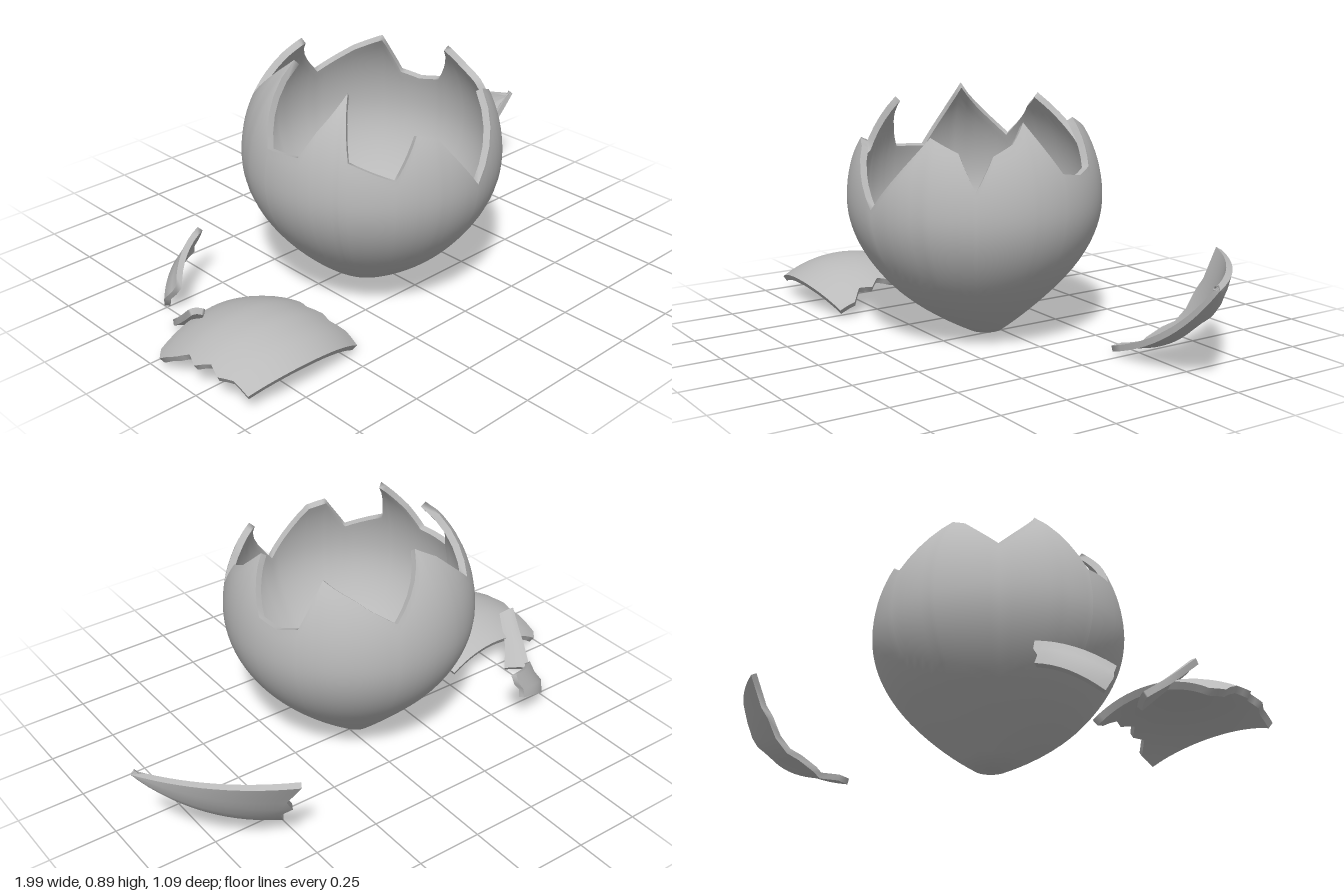
import * as THREE from 'three';

const shellGray = new THREE.MeshStandardMaterial({ color: 0xbababa });
shellGray.name = 'shellGray';

// Smooth surface over a (nu+1) x (nv+1) grid of points
function sheet(points, nu, nv, flip) {
  const g = new THREE.BufferGeometry().setFromPoints(points);
  const index = [];
  for (let j = 0; j < nv; j++) {
    for (let i = 0; i < nu; i++) {
      const a = j * (nu + 1) + i, b = a + 1, d = a + nu + 1, c = d + 1;
      if (flip) index.push(a, c, b, a, d, c);
      else index.push(a, b, c, a, c, d);
    }
  }
  g.setIndex(index);
  g.computeVertexNormals();
  return g;
}

// Closed curved plate: outer face, inner face and broken edge between them
function plate(name, nu, nv, thickness, pointAt, closed = false) {
  const outer = [];
  for (let j = 0; j <= nv; j++) for (let i = 0; i <= nu; i++) outer.push(pointAt(i, j));
  const outerGeo = sheet(outer, nu, nv, false);
  const normals = outerGeo.attributes.normal;
  const inner = outer.map((p, k) =>
    p.clone().addScaledVector(new THREE.Vector3().fromBufferAttribute(normals, k), -thickness));
  if (closed) {
    // keep the seam of the inner face shut
    for (let j = 0; j <= nv; j++) inner[j * (nu + 1) + nu].copy(inner[j * (nu + 1)]);
  }

  // Boundary loop, in order around the outer face
  const id = (i, j) => j * (nu + 1) + i;
  const loop = [];
  if (!closed) {
    for (let i = 0; i < nu; i++) loop.push(id(i, 0));
    for (let j = 0; j < nv; j++) loop.push(id(nu, j));
  }
  for (let i = nu; i > 0; i--) loop.push(id(i, nv));
  if (!closed) for (let j = nv; j > 0; j--) loop.push(id(0, j));
  loop.push(closed ? id(0, nv) : loop[0]);
  const rim = [...loop.map((k) => inner[k]), ...loop.map((k) => outer[k])];

  const group = new THREE.Group();
  group.name = name;
  const add = (part, geo) => {
    const mesh = new THREE.Mesh(geo, shellGray);
    mesh.name = part;
    group.add(mesh);
  };
  add('outerFace', outerGeo);
  add('innerFace', sheet(inner, nu, nv, true));
  add('brokenEdge', sheet(rim, loop.length - 1, 1, false));
  return group;
}

// Egg radius at a height
function eggRadius(y) {
  if (y > 0.51) return 0.463 * Math.sqrt(1 - ((y - 0.51) / 0.48) ** 2);
  return 0.463 * (1 - 0.862 * ((0.51 - y) / 0.51) ** 2);
}

// Broken rim: angle in degrees (from +x towards +z) and height
const RIM = [
  [185, 0.64], [167, 0.65], [160, 0.74], [148, 0.855], [144, 0.66], [124, 0.6],
  [113, 0.735], [103, 0.715], [83, 0.515], [55, 0.775], [40, 0.73], [32, 0.605],
  [24, 0.72], [14, 0.755], [5, 0.82], [-10, 0.645], [-21, 0.63], [-31, 0.65],
  [-40, 0.81], [-56, 0.76], [-76, 0.67], [-99, 0.86], [-111, 0.815],
  [-130, 0.68], [-158, 0.89], [-175, 0.64],
];

function eggShell() {
  const steps = 5, rows = 26, columns = [];
  for (let k = 0; k < RIM.length - 1; k++) {
    for (let s = 0; s < steps; s++) {
      const t = s / steps;
      columns.push([0, 1].map((n) => THREE.MathUtils.lerp(RIM[k][n], RIM[k + 1][n], t)));
    }
  }
  columns.push(RIM[RIM.length - 1]);
  return plate('crackedEgg', columns.length - 1, rows, 0.025, (i, j) => {
    const a = THREE.MathUtils.degToRad(columns[i][0]);
    const y = columns[i][1] * Math.max(0, j - 1) / (rows - 1);
    const r = j === 0 ? 0 : eggRadius(y);
    const lean = 0.045 * Math.max(0, 1 - y / 0.2) ** 2;
    return new THREE.Vector3(-0.055 + r * Math.cos(a), y, 0.078 - lean + r * Math.sin(a));
  }, true);
}

// Large domed fragment lying on the ground, rows from front to back as [x, z]
function domedFragment() {
  const left = [[-0.94, 0.445], [-0.945, 0.38], [-0.97, 0.33], [-0.955, 0.28], [-0.985, 0.23],
    [-0.965, 0.18], [-0.985, 0.13], [-0.995, 0.05], [-0.96, 0.01]];
  const right = [[-0.46, 0.43], [-0.455, 0.37], [-0.495, 0.33], [-0.48, 0.28], [-0.515, 0.24],
    [-0.495, 0.18], [-0.515, 0.13], [-0.5, 0.06], [-0.52, 0.0]];
  const nu = 16, sub = 2, nv = (left.length - 1) * sub;
  const at = (list, j, n) => {
    const k = Math.min(Math.floor(j / sub), list.length - 2);
    return THREE.MathUtils.lerp(list[k][n], list[k + 1][n], j / sub - k);
  };
  return plate('domedFragment', nu, nv, 0.025, (i, j) => {
    const u = i / nu;
    const x = THREE.MathUtils.lerp(at(left, j, 0), at(right, j, 0), u);
    const z = THREE.MathUtils.lerp(at(left, j, 1), at(right, j, 1), u)
      + 0.16 * u * (1 - u) * (1 - j / nv);
    const d2 = (x + 0.73) ** 2 + (z - 0.235) ** 2;
    return new THREE.Vector3(x, -0.285 + Math.sqrt(0.2116 - Math.min(d2, 0.13)), z);
  });
}

// Tall pointed fragment, from its jagged edge to the far tip
function pointedFragment() {
  const jag = [[0.585, 0.35, -0.545], [0.6, 0.25, -0.475], [0.57, 0.2, -0.465],
    [0.585, 0.145, -0.41], [0.555, 0.09, -0.38], [0.545, 0.075, -0.33], [0.51, 0.035, -0.29],
    [0.515, 0.02, -0.25], [0.47, 0.015, -0.2], [0.465, 0.01, -0.16]];
  const tip = new THREE.Vector3(0.995, 0.35, -0.16);
  const nu = 14, nv = jag.length - 1;
  return plate('pointedFragment', nu, nv, 0.022, (i, j) => {
    const u = i / nu, v = j / nv;
    const swell = 4 * u * (1 - u) * (0.05 + 0.08 * v * (1 - v));
    return new THREE.Vector3(...jag[j]).lerp(tip, u)
      .add(new THREE.Vector3(0.5, -0.8 * v, -0.6 * (1 - v)).multiplyScalar(swell));
  });
}

// Small chip from two ragged ends, each a list of points from bottom to top
function chip(name, start, end, swell) {
  const nu = 8, nv = start.length - 1;
  const dir = new THREE.Vector3(...swell);
  return plate(name, nu, nv, 0.022, (i, j) => {
    const u = i / nu;
    return new THREE.Vector3(...start[j]).lerp(new THREE.Vector3(...end[j]), u)
      .addScaledVector(dir, 4 * u * (1 - u));
  });
}

export function createModel() {
  const model = new THREE.Group();
  model.name = 'brokenEggshell';
  model.add(
    eggShell(),
    domedFragment(),
    pointedFragment(),
    chip('uprightChip',
      [[-0.56, 0.12, -0.36], [-0.565, 0.15, -0.35], [-0.545, 0.18, -0.345], [-0.54, 0.215, -0.33]],
      [[-0.755, 0.005, -0.26], [-0.77, 0.05, -0.235], [-0.755, 0.08, -0.21], [-0.75, 0.115, -0.185]],
      [-0.012, 0.012, -0.016]),
    chip('leaningChip',
      [[-0.735, 0.02, -0.06], [-0.78, 0.08, -0.01], [-0.8, 0.12, 0.03], [-0.825, 0.175, 0.085]],
      [[-0.81, 0.03, -0.13], [-0.845, 0.09, -0.05], [-0.86, 0.13, 0.0], [-0.885, 0.19, 0.07]],
      [0, 0.006, -0.004]),
  );
  return model;
}
